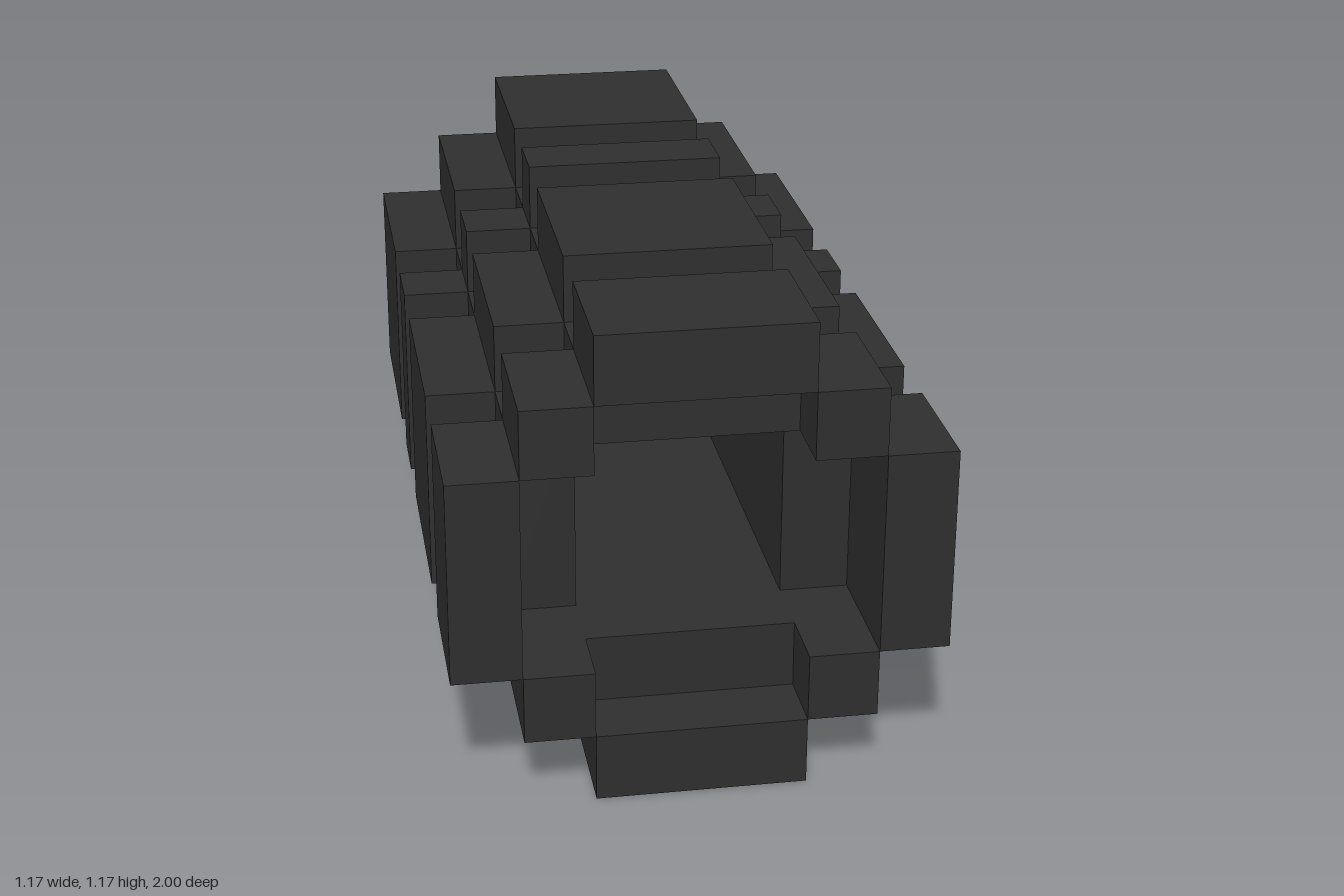
import * as THREE from 'three';

const U = 1 / 6; // one block
const CENTRE_Y = 3.5 * U;

export function createModel() {
  const model = new THREE.Group();
  model.name = 'blockTube';

  const darkGrey = new THREE.MeshStandardMaterial({ color: 0x2e2e2e });
  darkGrey.name = 'darkGrey';
  const red = new THREE.MeshStandardMaterial({ color: 0xd00c0c });
  red.name = 'red';

  // Box given by its limits in blocks, measured from the tube's axis
  function block(name, material, [x0, x1], [y0, y1], [z0, z1]) {
    const geometry = new THREE.BoxGeometry((x1 - x0) * U, (y1 - y0) * U, (z1 - z0) * U);
    const mesh = new THREE.Mesh(geometry, material);
    mesh.name = name;
    mesh.position.set((x0 + x1) / 2 * U, CENTRE_Y + (y0 + y1) / 2 * U, (z0 + z1) / 2 * U);
    model.add(mesh);
  }

  const span = (side, near, far) => (side > 0 ? [near, far] : [-far, -near]);
  const middle = [-1.5, 1.5];
  const bands = [[4, 6], [0, 3], [-2, -1], [-6, -3]];

  for (const s of [-1, 1]) {
    // Inner walls of the hollow tube, set back at the open front
    block(s > 0 ? 'innerRoof' : 'innerFloor', darkGrey, middle, span(s, 1.5, 2.5), [-6, 5]);
    block(s > 0 ? 'innerLeftWall' : 'innerRightWall', darkGrey, span(s, 1.5, 2.5), middle, [-6, 4]);

    // Raised bands around the tube, with grooves between them
    for (const z of bands) {
      block(s > 0 ? 'topPlate' : 'bottomPlate', darkGrey, middle, span(s, 2.5, 3.5), z);
      block(s > 0 ? 'leftPlate' : 'rightPlate', darkGrey, span(s, 2.5, 3.5), middle, z);
      for (const t of [-1, 1]) {
        block('cornerBlock', darkGrey, span(s, 1.5, 2.5), span(t, 1.5, 2.5), z);
      }
    }
  }

  // Red panel closing the back end
  block('backPanel', red, middle, middle, [-6, -5]);

  return model;
}
